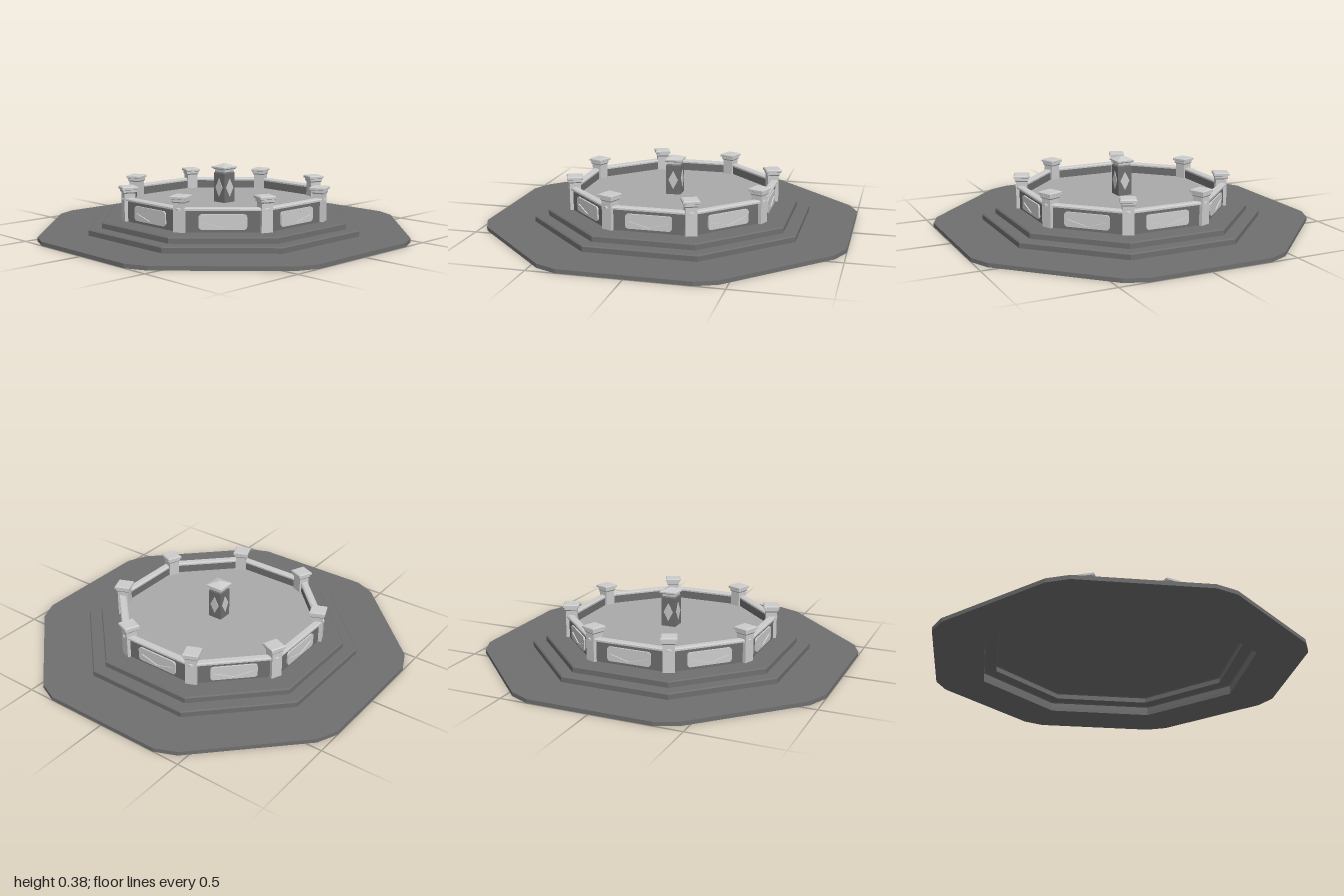
import * as THREE from 'three';

const mat = (color) => new THREE.MeshStandardMaterial({ color, flatShading: true, side: THREE.DoubleSide });
const light = mat(0xcccccc);
const dark = mat(0x6f6f6f);
const waterGrey = mat(0xaaaaaa);

function add(parent, name, geometry, material, x = 0, y = 0, z = 0) {
  const mesh = new THREE.Mesh(geometry, material);
  mesh.name = name;
  mesh.position.set(x, y, z);
  parent.add(mesh);
  return mesh;
}

// Eight-sided lathe; profile is [distance to flat side, height], bottom to top
function octagon(profile) {
  const k = 1 / Math.cos(Math.PI / 8);
  const pts = profile.map(([a, y]) => new THREE.Vector2(a * k, y));
  return new THREE.LatheGeometry(pts, 8, Math.PI / 8);
}

// Square lathe with flat sides facing the axes; profile is [half width, height]
function square(profile) {
  const pts = profile.map(([a, y]) => new THREE.Vector2(a * Math.SQRT2, y));
  return new THREE.LatheGeometry(pts, 4, Math.PI / 4);
}

function diamond(Type, w, h) {
  return new Type([[w, 0], [0, h], [-w, 0], [0, -h]].map(([x, y]) => new THREE.Vector2(x, y)));
}

function extrude(shape, depth) {
  return new THREE.ExtrudeGeometry(shape, { depth, bevelEnabled: false, curveSegments: 5 });
}

// Rounded panel with a sunken diamond
function panelGeometry(w, h, r, depth) {
  const s = new THREE.Shape();
  s.moveTo(-w + r, -h);
  s.lineTo(w - r, -h);
  s.absarc(w - r, -h + r, r, -Math.PI / 2, 0);
  s.lineTo(w, h - r);
  s.absarc(w - r, h - r, r, 0, Math.PI / 2);
  s.lineTo(-w + r, h);
  s.absarc(-w + r, h - r, r, Math.PI / 2, Math.PI);
  s.lineTo(-w, -h + r);
  s.absarc(-w + r, -h + r, r, Math.PI, Math.PI * 1.5);
  s.holes.push(diamond(THREE.Path, 0.11, 0.03));
  return extrude(s, depth);
}

// Ground slab with clipped corners, open under the steps
function slabGeometry() {
  const s = new THREE.Shape();
  for (let i = 0; i < 4; i++) {
    const c = Math.round(Math.cos(i * Math.PI / 2)), n = Math.round(Math.sin(i * Math.PI / 2));
    [[1, -0.345], [1, 0.345], [0.95, 0.46], [0.46, 0.95]].forEach(([x, y], j) => {
      const px = x * c - y * n, py = x * n + y * c;
      if (i === 0 && j === 0) s.moveTo(px, py);
      else s.lineTo(px, py);
    });
  }
  const hole = new THREE.Path();
  const r = 0.728 / Math.cos(Math.PI / 8);
  hole.setFromPoints(Array.from({ length: 8 }, (_, i) => {
    const a = Math.PI / 8 - i * Math.PI / 4;
    return new THREE.Vector2(r * Math.cos(a), r * Math.sin(a));
  }));
  s.holes.push(hole);
  return extrude(s, 0.022).rotateX(-Math.PI / 2);
}

export function createModel() {
  const model = new THREE.Group();
  model.name = 'fountain';

  add(model, 'groundSlab', slabGeometry(), dark);

  // Two hollow steps with softened edges
  add(model, 'steps', octagon([
    [0.728, 0], [0.73, 0.05], [0.724, 0.056], [0.66, 0.056],
    [0.66, 0.084], [0.654, 0.09], [0, 0.09],
  ]), dark);

  // Basin wall, its coping and the water
  add(model, 'basinWall', octagon([
    [0.515, 0.09], [0.543, 0.09], [0.543, 0.208], [0.515, 0.208], [0.515, 0.09],
  ]), dark);
  add(model, 'coping', octagon([
    [0.512, 0.205], [0.555, 0.205], [0.555, 0.214], [0.549, 0.22],
    [0.52, 0.22], [0.512, 0.214], [0.512, 0.205],
  ]), light);
  add(model, 'water', octagon([[0.516, 0.16], [0, 0.16]]), waterGrey);

  // Wall panels and corner posts
  const panel = panelGeometry(0.125, 0.04, 0.017, 0.01);
  const inset = new THREE.ShapeGeometry(diamond(THREE.Shape, 0.11, 0.03));
  const post = square([
    [0.031, 0.09], [0.031, 0.243], [0.037, 0.25], [0.037, 0.262], [0.044, 0.265],
    [0.044, 0.276], [0.038, 0.281], [0, 0.281],
  ]);
  for (let i = 0; i < 8; i++) {
    const side = new THREE.Group();
    side.name = 'side' + (i + 1);
    side.rotation.y = i * Math.PI / 4;
    add(side, 'wallPanel', panel, light, 0, 0.146, 0.542);
    add(side, 'panelDiamond', inset, light, 0, 0.146, 0.5455);
    model.add(side);

    const corner = new THREE.Group();
    corner.name = 'corner' + (i + 1);
    corner.rotation.y = (i + 0.5) * Math.PI / 4;
    add(corner, 'cornerPost', post, light, 0, 0, 0.563);
    model.add(corner);
  }

  // Centre pillar with a diamond on each face and a pyramid cap
  const pillar = new THREE.Group();
  pillar.name = 'centrePillar';
  add(pillar, 'pillarBody', square([[0.041, 0.16], [0.041, 0.325], [0.034, 0.333]]), dark);
  add(pillar, 'pillarCap', square([
    [0.034, 0.328], [0.038, 0.333], [0.038, 0.345], [0.051, 0.352],
    [0.051, 0.36], [0, 0.38],
  ]), light);
  const pillarDiamond = extrude(diamond(THREE.Shape, 0.028, 0.052), 0.004);
  for (let i = 0; i < 4; i++) {
    const face = new THREE.Group();
    face.name = 'pillarFace' + (i + 1);
    face.rotation.y = i * Math.PI / 2;
    add(face, 'pillarDiamond', pillarDiamond, light, 0, 0.243, 0.04);
    pillar.add(face);
  }
  model.add(pillar);

  return model;
}
